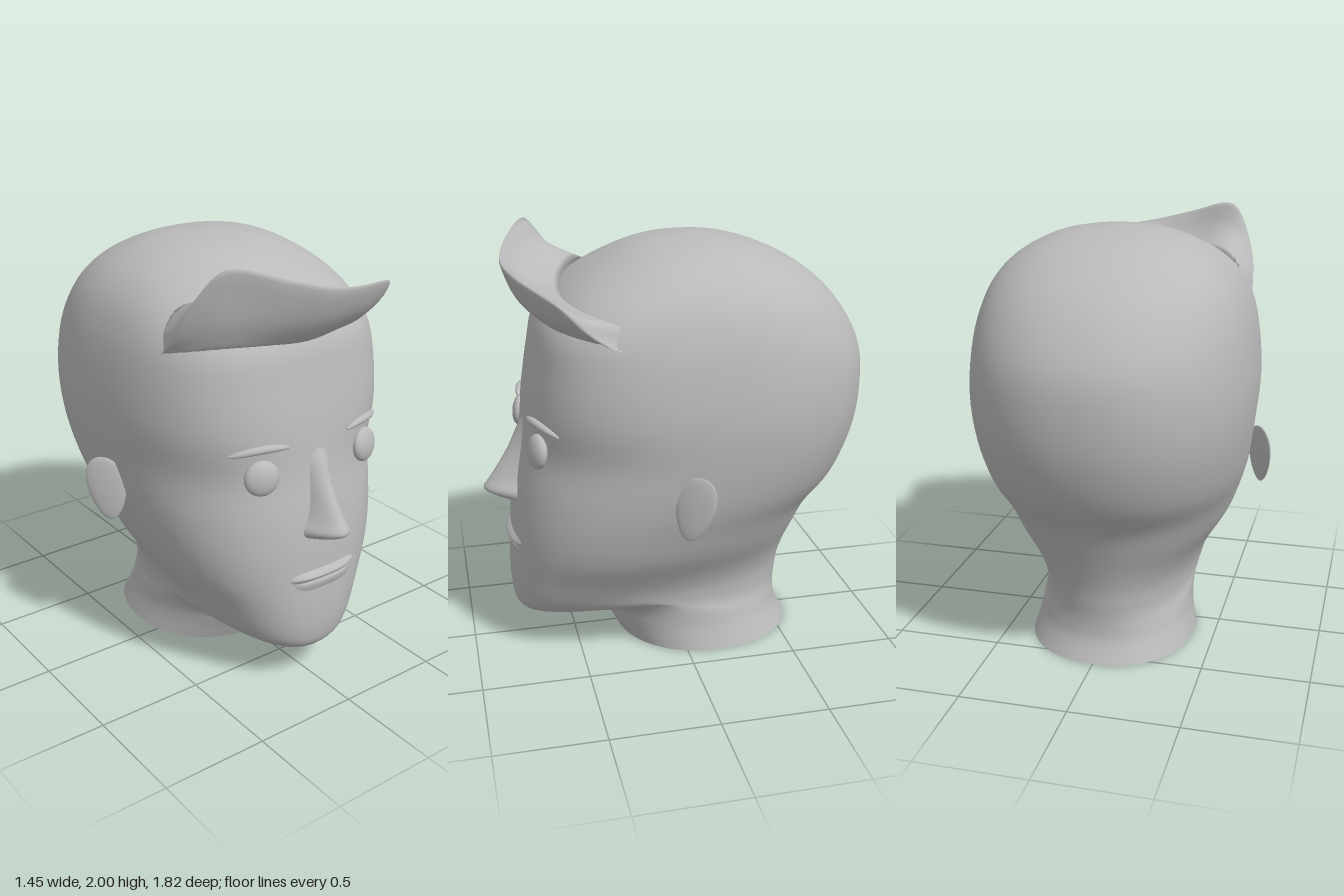
import * as THREE from 'three';

const material = new THREE.MeshStandardMaterial({ color: 0xbababa, side: THREE.DoubleSide });
material.name = 'plain grey';
const FACE_X = 0.015; // the face sits slightly off the centre line

// Skin a list of cross-sections, each a list of [x, y, z]
function loft(sections, closed) {
  const n = sections[0].length, index = [];
  const steps = closed ? n : n - 1;
  for (let i = 0; i < sections.length - 1; i++) {
    for (let j = 0; j < steps; j++) {
      const a = i * n + j, b = i * n + (j + 1) % n;
      index.push(a, a + n, b, b, a + n, b + n);
    }
  }
  const g = new THREE.BufferGeometry();
  g.setAttribute('position', new THREE.Float32BufferAttribute(sections.flat(2), 3));
  g.setIndex(index);
  g.computeVertexNormals();
  return g;
}

// Smoothly resample rows of numbers
function smooth(rows, sub) {
  const out = [], last = rows.length - 1;
  const at = (i) => rows[Math.max(0, Math.min(last, i))];
  for (let i = 0; i < last; i++) {
    for (let s = 0; s < sub; s++) {
      const t = s / sub;
      out.push(rows[i].map((p, k) => {
        const q = at(i + 1)[k], m0 = (q - at(i - 1)[k]) / 2, m1 = (at(i + 2)[k] - p) / 2;
        const d = q - p;
        return p + m0 * t + (3 * d - 2 * m0 - m1) * t * t + (m0 + m1 - 2 * d) * t * t * t;
      }));
    }
  }
  out.push(rows[last]);
  return out;
}

// Head levels: front y, sideways rise, front z, back z, half width, centre z,
// front squareness, back y
const levels = smooth([
  [0.00, 0.0, 0.28, -0.585, 0.40, -0.12, 2, 0],
  [0.12, 0.0, 0.345, -0.54, 0.372, -0.08, 2, 0.09],
  [0.155, 0.6, 0.39, -0.53, 0.367, 0.0, 2.1, 0.16],
  [0.157, 0.9, 0.69, -0.532, 0.37, 0.12, 2.2, 0.22],
  [0.19, 0.88, 0.775, -0.54, 0.378, 0.18, 2.3, 0.28],
  [0.27, 0.55, 0.80, -0.55, 0.395, 0.21, 2.4, 0.35],
  [0.40, 0.15, 0.805, -0.575, 0.437, 0.22, 2.4, 0.44],
  [0.55, 0.0, 0.795, -0.62, 0.51, 0.2, 2.4, 0.56],
  [0.70, 0.0, 0.785, -0.685, 0.565, 0.14, 2.4, 0.70],
  [0.86, 0.0, 0.765, -0.80, 0.61, 0.02, 2.4, 0.85],
  [1.05, 0.0, 0.73, -0.88, 0.64, -0.08, 2.4, 1.05],
  [1.25, 0.0, 0.705, -0.91, 0.655, -0.1, 2.8, 1.25],
  [1.45, 0.0, 0.67, -0.895, 0.64, -0.1, 3, 1.45],
  [1.62, 0.0, 0.63, -0.81, 0.605, -0.1, 3, 1.62],
  [1.76, 0.0, 0.51, -0.685, 0.54, -0.1, 2.7, 1.76],
  [1.87, 0.0, 0.345, -0.52, 0.425, -0.1, 2.3, 1.87],
  [1.95, 0.0, 0.16, -0.31, 0.245, -0.09, 2, 1.95],
  [1.98, 0.0, -0.08, -0.08, 0.0, -0.08, 2, 1.98],
], 4);

function headSection([y, rise, front, back, half, zc, nf, yBack]) {
  return Array.from({ length: 72 }, (_, j) => {
    const a = j / 72 * Math.PI * 2, c = Math.cos(a), s = Math.sin(a);
    const n = s > 0 ? nf : 2.2;
    const r = (Math.abs(c) ** n + Math.abs(s) ** n) ** (-1 / n);
    const x = c * r * half;
    const z = zc + s * r * (s > 0 ? front - zc : zc - back);
    const toFront = THREE.MathUtils.smoothstep(s, -0.7, 0.3);
    return [x, THREE.MathUtils.lerp(yBack, y + rise * x * x, toFront), z];
  });
}

// Depth of the face surface at a given x and y
function faceZ(x, y) {
  let i = 1;
  while (i < levels.length - 1 && levels[i][0] < y) i++;
  const a = levels[i - 1], b = levels[i], t = (y - a[0]) / (b[0] - a[0]);
  const [front, half, zc, n] = [2, 4, 5, 6].map((k) => a[k] + (b[k] - a[k]) * t);
  return zc + (front - zc) * Math.max(0, 1 - Math.abs(x / half) ** n) ** (1 / n);
}

// Patch laid over the face, from rows of y and half width
function facePatch(rows, depth) {
  return loft(rows.map((row) => Array.from({ length: 25 }, (_, j) => {
    const t = 1 - j / 12, x = FACE_X + row[1] * t;
    return [x, row[0], depth(row, t, x)];
  })), false);
}

export function createModel() {
  const model = new THREE.Group();
  model.name = 'head bust';
  const add = (name, geometry) => {
    const mesh = new THREE.Mesh(geometry, material);
    mesh.name = name;
    model.add(mesh);
    return mesh;
  };

  // Skull, jaw and neck, with a flat base
  const rings = levels.map(headSection);
  add('headAndNeck', loft(rings, true));
  add('neckBase', loft([rings[0].map(() => [0, 0, -0.12]), rings[0]], true));

  // Nose: y, half width, ridge z
  const nose = smooth([
    [0.755, 0.08, 0.77], [0.765, 0.112, 0.85], [0.80, 0.122, 0.913], [0.85, 0.095, 0.885],
    [0.92, 0.076, 0.838], [1.0, 0.068, 0.79], [1.08, 0.066, 0.752], [1.17, 0.066, 0.708],
  ], 4);
  add('nose', facePatch(nose, ([y, , ridge], t, x) => {
    const base = faceZ(x, y) - 0.012;
    return base + Math.max(0, ridge - base) * Math.cos(t * Math.PI / 2) ** 0.9;
  }));

  // Lips: y, half width, bulge
  const lips = smooth([
    [0.485, 0.13, -0.004], [0.515, 0.16, 0.01], [0.54, 0.18, 0.016], [0.553, 0.19, 0.01],
    [0.57, 0.2, 0.027], [0.588, 0.19, 0.014], [0.605, 0.17, -0.004],
  ], 3);
  add('lips', facePatch(lips, ([y, , bulge], t, x) =>
    faceZ(x, y) - 0.004 + bulge * (1 - t ** 4)));

  for (const side of [1, -1]) {
    const label = side > 0 ? 'left' : 'right';

    // Flattened eyeball, turned to follow the face
    const eye = add(label + 'Eye', new THREE.SphereGeometry(0.08, 32, 20));
    const eyeX = FACE_X + side * 0.3;
    eye.scale.z = 0.45;
    eye.position.set(eyeX, 1.08, faceZ(eyeX, 1.08) + 0.018);
    eye.rotation.set(-0.12, side * 0.3, 0);

    // Arched brow following the face
    const brow = new THREE.SphereGeometry(1, 32, 14);
    const p = brow.attributes.position;
    for (let i = 0; i < p.count; i++) {
      const u = p.getX(i), x = FACE_X + side * 0.295 + u * 0.135;
      const y = 1.207 - 0.018 * u * u - side * 0.006 * u + p.getY(i) * 0.018;
      p.setXYZ(i, x, y, faceZ(x, 1.2) + 0.008 + p.getZ(i) * 0.02);
    }
    brow.computeVertexNormals();
    add(label + 'Eyebrow', brow);

    // Thin ear flaring outward toward the back, broader at the top
    const ear = new THREE.SphereGeometry(1, 32, 20);
    const q = ear.attributes.position;
    for (let i = 0; i < q.count; i++) {
      const v = q.getY(i), thick = q.getX(i) * 0.017;
      const along = q.getZ(i) * (0.094 + 0.022 * v);
      q.setXYZ(i, 0.666 + along * 0.62 + thick * 0.85, 0.885 + v * 0.147,
        0.042 - along * 0.78 - v * 0.027 + thick * 0.5);
    }
    if (side < 0) ear.scale(-1, 1, 1);
    if (side < 0) ear.index.array.reverse();
    ear.computeVertexNormals();
    add(label + 'Ear', ear);
  }

  // Swept-up fringe: root x, root y, tip x, tip y, tip z
  const fringe = smooth([
    [-0.565, 1.59, -0.56, 1.6, 0.36], [-0.545, 1.605, -0.54, 1.77, 0.48],
    [-0.47, 1.625, -0.465, 1.95, 0.58], [-0.36, 1.635, -0.38, 2.0, 0.645],
    [-0.2, 1.63, -0.2, 1.945, 0.735], [0, 1.615, 0, 1.89, 0.78],
    [0.2, 1.63, 0.2, 1.855, 0.74], [0.4, 1.63, 0.4, 1.825, 0.66],
    [0.53, 1.615, 0.525, 1.78, 0.575], [0.56, 1.6, 0.555, 1.67, 0.46],
    [0.572, 1.59, 0.565, 1.6, 0.36],
  ], 4);
  add('fringe', loft(fringe.map(([x, y, tx, ty, tz]) => {
    const root = faceZ(x, y), h = ty - y, mx = (x + tx) / 2;
    return smooth([
      [x, y, root - 0.006],
      [mx, y + h * 0.3, root + (tz - root) * 0.5],
      [mx, y + h * 0.65, root + (tz - root) * 0.85],
      [tx, ty, tz],
      [mx * 0.985, y + h * 0.7, root + (tz - root) * 0.55 - h * 0.12],
      [x * 0.95, y + h * 0.45, root - h * 0.45 - 0.02],
    ], 3);
  }), true));

  return model;
}
